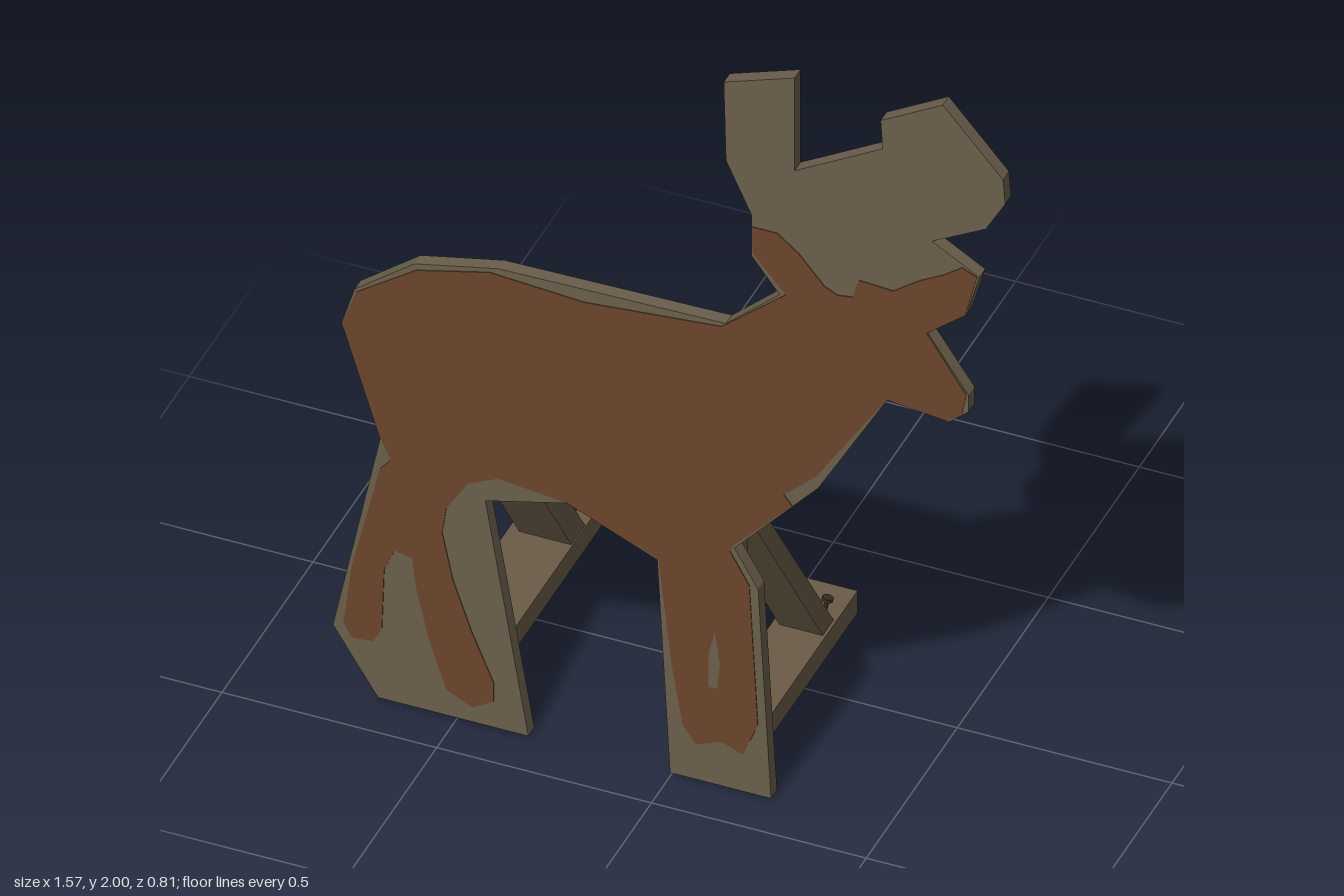
import * as THREE from 'three';

const mat = (name, color) => new THREE.MeshStandardMaterial({ name, color });
const toShape = (pts) => new THREE.Shape(pts.map(([x, y]) => new THREE.Vector2(x, y)));

// Cut-out silhouette, clockwise from the rear antler
const OUTLINE = [
  [0.125, 1.91], [0.29, 1.97], [0.29, 1.72], [0.495, 1.84], [0.49, 1.915], [0.635, 2.0],
  [0.775, 1.84], [0.78, 1.775], [0.735, 1.695], [0.61, 1.625], [0.72, 1.56], [0.69, 1.45],
  [0.6, 1.375], [0.695, 1.235], [0.695, 1.19], [0.65, 1.15], [0.505, 1.165], [0.345, 0.88],
  [0.15, 0.66], [0.205, 0.565], [0.235, 0.01], [0.0, 0.01], [-0.03, 0.575], [-0.24, 0.665],
  [-0.43, 0.615], [-0.33, 0.01], [-0.68, 0.01], [-0.785, 0.175], [-0.675, 0.71], [-0.765, 0.995],
  [-0.735, 1.095], [-0.595, 1.205], [-0.4, 1.25], [0.13, 1.26], [0.255, 1.375], [0.19, 1.46],
  [0.19, 1.57], [0.13, 1.7],
];

// Painted coat: head and chest, front leg, hind leg, then back
const COAT = [
  [0.19, 1.54], [0.25, 1.54], [0.3, 1.5], [0.36, 1.43], [0.39, 1.415], [0.425, 1.42],
  [0.44, 1.47], [0.52, 1.465], [0.58, 1.51], [0.64, 1.545], [0.68, 1.575], [0.715, 1.56],
  [0.688, 1.45], [0.598, 1.375], [0.69, 1.235], [0.68, 1.18], [0.65, 1.155], [0.505, 1.167],
  [0.34, 0.91], [0.265, 0.84], [0.285, 0.815], [0.15, 0.67], [0.14, 0.65], [0.185, 0.57],
  [0.205, 0.2], [0.17, 0.11], [0.12, 0.13], [0.06, 0.105], [0.03, 0.15], [0.005, 0.3],
  [-0.027, 0.58], [-0.24, 0.667], [-0.4, 0.685], [-0.47, 0.65], [-0.52, 0.57], [-0.53, 0.5],
  [-0.505, 0.38], [-0.46, 0.25], [-0.41, 0.13], [-0.41, 0.08], [-0.46, 0.05], [-0.52, 0.08],
  [-0.56, 0.2], [-0.59, 0.33], [-0.6, 0.41], [-0.64, 0.42], [-0.665, 0.36], [-0.67, 0.2],
  [-0.69, 0.16], [-0.74, 0.155], [-0.76, 0.19], [-0.74, 0.35], [-0.7, 0.52], [-0.675, 0.63],
  [-0.65, 0.66], [-0.672, 0.71], [-0.763, 0.995], [-0.73, 1.09], [-0.59, 1.19], [-0.42, 1.235],
  [-0.2, 1.22], [0.12, 1.25], [0.27, 1.38], [0.193, 1.47],
];
const COAT_GAP = [[0.105, 0.42], [0.117, 0.34], [0.11, 0.27], [0.09, 0.27], [0.09, 0.36]];

export function createModel() {
  const model = new THREE.Group();
  const wood = mat('weathered board', 0x6a5e4b);
  const timber = mat('support timber', 0x6c5c48);
  const paint = mat('brown paint', 0x6b432c);
  const iron = mat('dark nails', 0x3a2a1c);

  const add = (parent, name, geometry, material) => {
    const mesh = new THREE.Mesh(geometry, material);
    mesh.name = name;
    parent.add(mesh);
    return mesh;
  };

  // Flat board and the thin coat of paint on its front
  const extrude = (shape, depth) => new THREE.ExtrudeGeometry(shape, { depth, bevelEnabled: false });
  add(model, 'board', extrude(toShape(OUTLINE), 0.033), wood).position.z = 0.365;
  const coatShape = toShape(COAT);
  coatShape.holes.push(toShape(COAT_GAP));
  add(model, 'paintedCoat', extrude(coatShape, 0.002), paint).position.z = 0.398;

  // Timber with a [z, y] side profile, spanning x0 to x1
  const beam = (parent, name, profile, x0, x1) => {
    const mesh = add(parent, name, extrude(toShape(profile), x1 - x0), timber);
    mesh.rotation.y = -Math.PI / 2;
    mesh.position.x = x1;
  };

  // Nail with its point at the given place, shaft along dir
  const nail = (parent, x, y, z, dir) => {
    const group = new THREE.Group();
    group.name = 'nail';
    add(group, 'nailShaft', new THREE.CylinderGeometry(0.005, 0.005, 0.06, 6), iron).position.y = 0.015;
    add(group, 'nailHead', new THREE.CylinderGeometry(0.013, 0.013, 0.008, 8), iron).position.y = 0.045;
    group.position.set(x, y, z);
    group.quaternion.setFromUnitVectors(new THREE.Vector3(0, 1, 0), new THREE.Vector3(...dir).normalize());
    parent.add(group);
  };

  // Support stand: mitred post and foot, diagonal brace, four nails
  const stand = (s) => {
    const group = new THREE.Group();
    group.name = s.name;
    const back = 0.365, face = 0.313, t = 0.06;
    beam(group, 'post', [[back, 0], [back, s.height], [face, s.height], [face, t]], s.x0, s.x1);
    beam(group, 'foot', [[back, 0], [face, t], [s.end, t], [s.end, 0]], s.x0, s.x1);
    beam(group, 'brace', [[face, s.top], [face, s.under], [s.inner, t], [s.outer, t]], s.bx0, s.bx1);
    for (const x of s.topNails) nail(group, x, s.top - 0.015, 0.305, [0.1, 0.15, -1]);
    for (const x of s.footNails) nail(group, x, 0.08, s.outer + 0.02, [0.15, 1, -0.15]);
    model.add(group);
  };
  stand({
    name: 'hindStand', x0: -0.63, x1: -0.48, height: 1.02, end: -0.405,
    bx0: -0.605, bx1: -0.483, top: 0.915, under: 0.815, inner: -0.2, outer: -0.275,
    topNails: [-0.577, -0.517], footNails: [-0.585, -0.505],
  });
  stand({
    name: 'foreStand', x0: 0.02, x1: 0.145, height: 0.87, end: -0.29,
    bx0: 0.037, bx1: 0.138, top: 0.775, under: 0.695, inner: -0.115, outer: -0.175,
    topNails: [0.063, 0.113], footNails: [0.057, 0.123],
  });

  return model;
}
